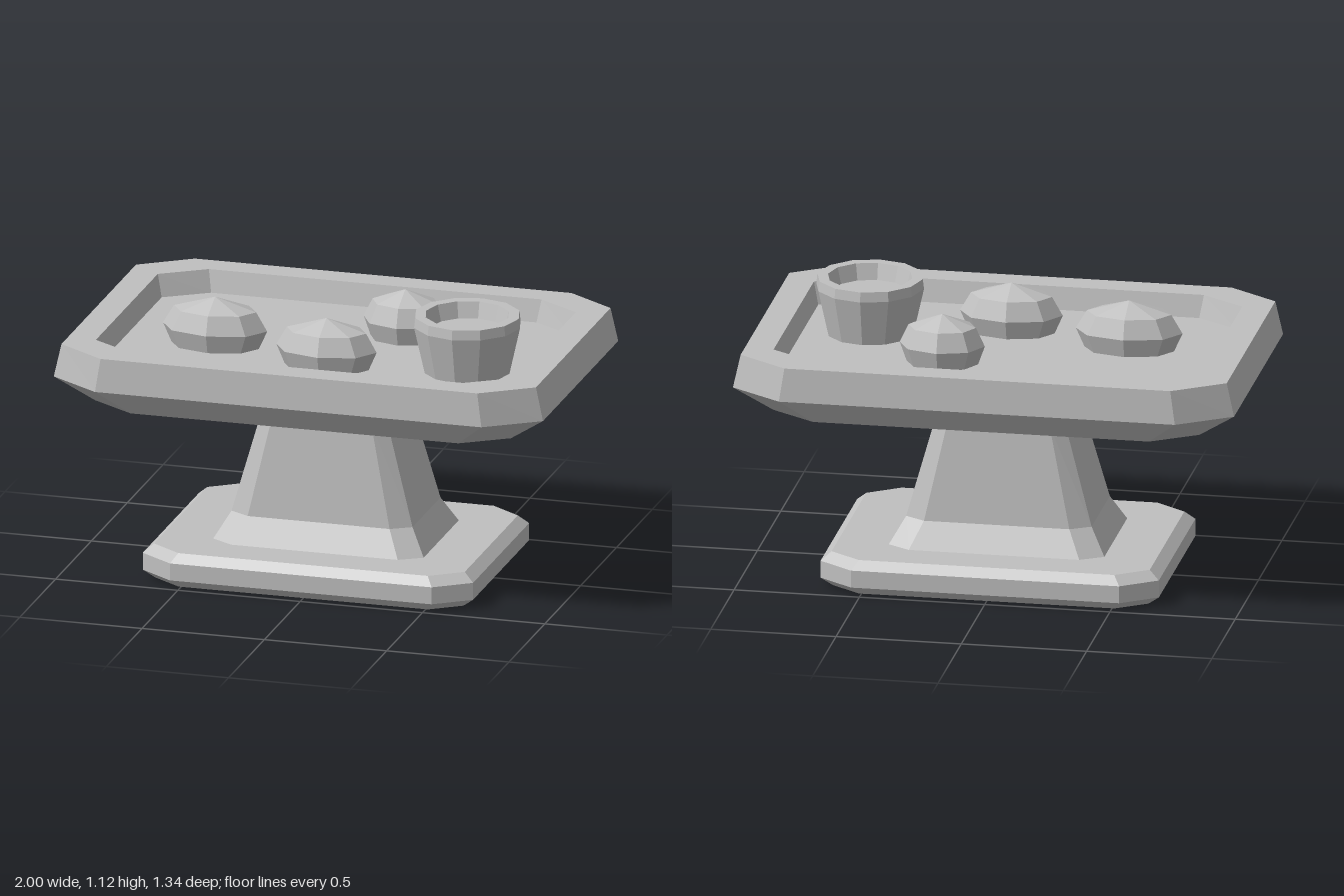
import * as THREE from 'three';

const stone = new THREE.MeshStandardMaterial({ color: 0xc0c0c0 });
stone.name = 'grey stone';

// Rectangle with cut corners: half sizes x, z and corner cuts cx, cz
const cutRect = (y, x, z, cx, cz) => [
  [x, y, z - cz], [x - cx, y, z], [cx - x, y, z], [-x, y, z - cz],
  [-x, y, cz - z], [cx - x, y, -z], [x - cx, y, -z], [x, y, cz - z],
];

// Eight-sided oval ring
const oval = (y, rx, rz) => Array.from({ length: 8 }, (_, i) => {
  const a = (i / 8) * Math.PI * 2;
  return [rx * Math.cos(a), y, rz * Math.sin(a)];
});

// Faceted skin through the rings from first to last, closed at both ends
function loft(rings) {
  const n = rings[0].length;
  const pos = [];
  const tri = (...points) => points.forEach((p) => pos.push(...p));
  for (let i = 0; i < n; i++) {
    const j = (i + 1) % n;
    for (let r = 0; r < rings.length - 1; r++) {
      const low = rings[r], high = rings[r + 1];
      tri(low[i], high[i], high[j]);
      tri(low[i], high[j], low[j]);
    }
    const first = rings[0], last = rings[rings.length - 1];
    tri([0, first[0][1], 0], first[i], first[j]);
    tri([0, last[0][1], 0], last[j], last[i]);
  }
  const geo = new THREE.BufferGeometry();
  geo.setAttribute('position', new THREE.Float32BufferAttribute(pos, 3));
  geo.computeVertexNormals();
  return geo;
}

export function createModel() {
  const model = new THREE.Group();
  model.name = 'pedestalTable';
  const add = (name, geo, x = 0, y = 0, z = 0) => {
    const mesh = new THREE.Mesh(geo, stone);
    mesh.name = name;
    mesh.position.set(x, y, z);
    model.add(mesh);
  };

  // Bevelled foot plate
  add('base', loft([
    cutRect(0, 0.63, 0.455, 0.12, 0.085),
    cutRect(0.035, 0.675, 0.492, 0.14, 0.1),
    cutRect(0.105, 0.675, 0.492, 0.14, 0.1),
    cutRect(0.14, 0.635, 0.46, 0.125, 0.09),
  ]));

  // Tapered column, flared at the foot and under the tray
  add('pedestal', loft([
    cutRect(0.14, 0.43, 0.3, 0.09, 0.055),
    cutRect(0.245, 0.37, 0.243, 0.08, 0.048),
    cutRect(0.655, 0.257, 0.197, 0.055, 0.037),
    cutRect(0.74, 0.36, 0.275, 0.075, 0.05),
  ]));

  // Table top with a raised rim around a sunken floor
  add('tray', loft([
    cutRect(0.74, 0.85, 0.58, 0.18, 0.12),
    cutRect(0.845, 1.0, 0.668, 0.21, 0.143),
    cutRect(0.98, 0.97, 0.658, 0.2, 0.138),
    cutRect(0.98, 0.855, 0.547, 0.175, 0.115),
    cutRect(0.89, 0.835, 0.527, 0.17, 0.11),
  ]));

  // Faceted loaves on the floor of the tray: x, z, half width, half depth
  [
    [-0.465, 0.1, 0.213, 0.128],
    [0.03, 0.235, 0.205, 0.128],
    [0.225, -0.2, 0.17, 0.127],
  ].forEach(([x, z, rx, rz], i) => add(`loaf${i + 1}`, loft([
    oval(0, rx * 0.84, rz * 0.84),
    oval(0.075, rx, rz),
    oval(0.15, rx * 0.79, rz * 0.79),
    oval(0.2, 0, 0),
  ]), x, 0.89, z));

  // Twelve-sided cup with a shallow hollow
  const profile = [
    [0, 0], [0.172, 0], [0.215, 0.19], [0.21, 0.23],
    [0.168, 0.23], [0.15, 0.165], [0, 0.165],
  ].map(([r, y]) => new THREE.Vector2(r, y));
  const cup = new THREE.LatheGeometry(profile, 12).toNonIndexed();
  cup.computeVertexNormals();
  add('cup', cup, 0.573, 0.89, 0.123);

  return model;
}
